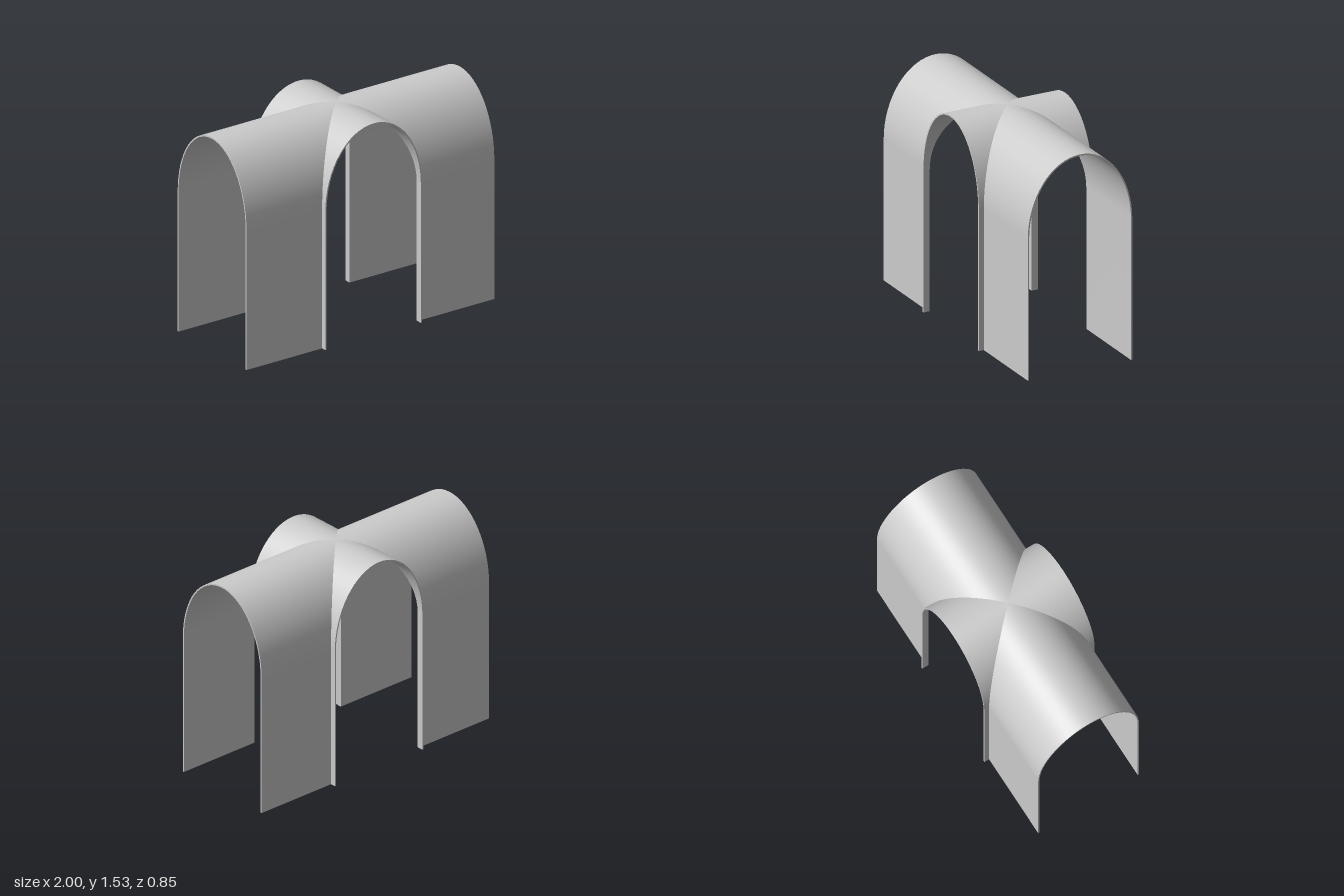
import * as THREE from 'three';
import { mergeGeometries } from 'three/addons/utils/BufferGeometryUtils.js';

const SPRING = 1.0;   // height where the walls turn into the arch
const STEPS = 32;     // segments around the arch

// Arch profile from the right wall foot, over the crown, to the left wall foot
function archProfile(halfWidth, top) {
  const points = [new THREE.Vector2(halfWidth, 0)];
  for (let i = 0; i <= STEPS; i++) {
    const a = (i / STEPS) * Math.PI;
    points.push(new THREE.Vector2(halfWidth * Math.cos(a), SPRING + (top - SPRING) * Math.sin(a)));
  }
  points.push(new THREE.Vector2(-halfWidth, 0));
  return points;
}

// Smooth surface between two rows of points
function strip(rowA, rowB) {
  const n = rowA.length;
  const index = [];
  for (let i = 0; i < n - 1; i++) {
    index.push(i, i + 1, n + i, i + 1, n + i + 1, n + i);
  }
  const geometry = new THREE.BufferGeometry().setFromPoints([...rowA, ...rowB]);
  geometry.setIndex(index);
  geometry.computeVertexNormals();
  return geometry;
}

// One arm of the vault along +z, mitred on the diagonals where the barrels cross
function vaultArm(length) {
  const near = (profile) => profile.map((p) => new THREE.Vector3(p.x, p.y, Math.abs(p.x)));
  const far = (profile) => profile.map((p) => new THREE.Vector3(p.x, p.y, length));
  const outer = archProfile(0.39, 1.53);
  const inner = archProfile(0.38, 1.52);
  const outNear = near(outer), outFar = far(outer);
  const inNear = near(inner), inFar = far(inner);
  const e = outer.length - 1;
  return mergeGeometries([
    strip(outNear, outFar),                                  // outside
    strip(inFar, inNear),                                    // underside
    strip(outFar, inFar),                                    // open end rim
    strip([outNear[0], outFar[0]], [inNear[0], inFar[0]]),   // wall feet
    strip([inNear[e], inFar[e]], [outNear[e], outFar[e]]),
  ]);
}

export function createModel() {
  const group = new THREE.Group();
  group.name = 'crossVault';
  const material = new THREE.MeshStandardMaterial({ color: 0xcccccc, side: THREE.DoubleSide });

  const longArm = vaultArm(1);
  const shortArm = vaultArm(0.427);
  const arms = [
    ['frontArm', shortArm, 0],
    ['leftArm', longArm, Math.PI / 2],
    ['backArm', shortArm, Math.PI],
    ['rightArm', longArm, -Math.PI / 2],
  ];
  for (const [name, geometry, turn] of arms) {
    const mesh = new THREE.Mesh(geometry, material);
    mesh.name = name;
    mesh.rotation.y = turn;
    group.add(mesh);
  }
  return group;
}
